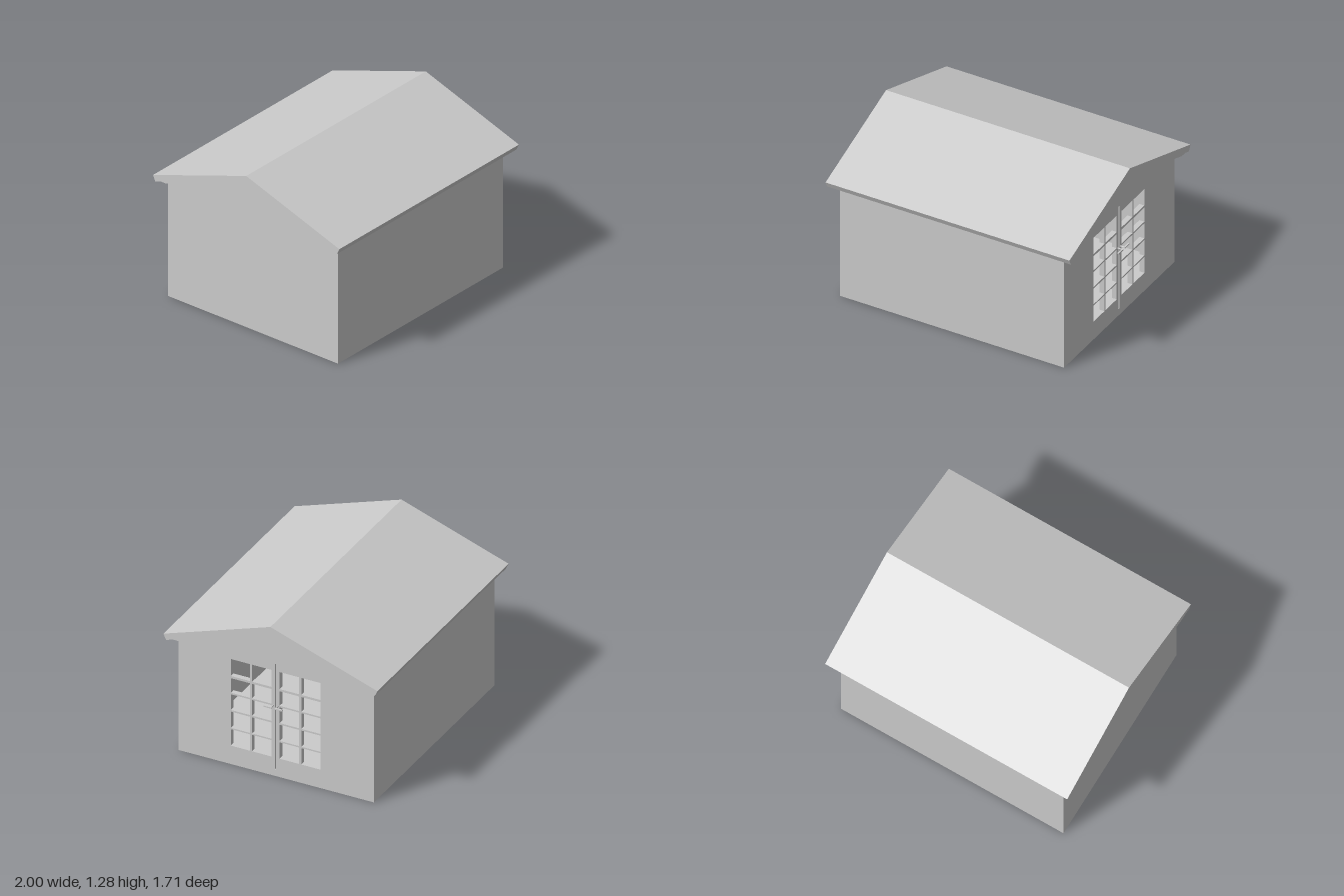
import * as THREE from 'three';

const material = new THREE.MeshStandardMaterial({ color: 0xcccccc, flatShading: true });
const WALL = 0.04; // wall thickness
const BACK = -0.925, FRONT = 0.91; // gable faces along x
const HALF = 0.782; // half width along z
const EAVE = 0.956, RIDGE = 1.214;

function add(group, geometry, name, x = 0, y = 0, z = 0) {
  const mesh = new THREE.Mesh(geometry, material);
  mesh.name = name;
  mesh.position.set(x, y, z);
  group.add(mesh);
  return mesh;
}

function box(group, name, [x0, x1], [y0, y1], [z0, z1]) {
  return add(group, new THREE.BoxGeometry(x1 - x0, y1 - y0, z1 - z0), name,
    (x0 + x1) / 2, (y0 + y1) / 2, (z0 + z1) / 2);
}

// Extrudes a profile drawn in (-z, y) along x, from x0 to x1
function extrudeX(group, name, shape, x0, x1) {
  const geometry = new THREE.ExtrudeGeometry(shape, { depth: x1 - x0, bevelEnabled: false });
  geometry.rotateY(Math.PI / 2);
  return add(group, geometry, name, x0);
}

const shapeOf = (points) => new THREE.Shape(points.map(([a, b]) => new THREE.Vector2(a, b)));

function gable() {
  return shapeOf([[-HALF, 0], [HALF, 0], [HALF, EAVE], [0.735, EAVE], [0, RIDGE],
    [-0.735, EAVE], [-HALF, EAVE]]);
}

function cutRect(shape, a0, a1, b0, b1) {
  shape.holes.push(new THREE.Path([[a0, b0], [a0, b1], [a1, b1], [a1, b0]]
    .map(([a, b]) => new THREE.Vector2(a, b))));
}

export function createModel() {
  const model = new THREE.Group();
  model.name = 'gardenHouse';

  // Floor and the two long side walls
  box(model, 'floor', [BACK + WALL, FRONT - WALL], [0, 0.02], [-HALF + WALL, HALF - WALL]);
  for (const s of [-1, 1]) {
    const z = s * (HALF - WALL / 2);
    box(model, s > 0 ? 'leftWall' : 'rightWall', [BACK + WALL, FRONT - WALL], [0, EAVE],
      [z - WALL / 2, z + WALL / 2]);
  }

  // Plain gable wall at the far end
  extrudeX(model, 'plainGableWall', gable(), BACK, BACK + WALL);

  // Gable wall with glazed double doors: open panes and the slit between the leaves
  const doorWall = gable();
  const columns = [[-0.363, -0.211], [-0.193, -0.037], [0.028, 0.184], [0.202, 0.354]];
  const rows = [[0.152, 0.287], [0.299, 0.432], [0.446, 0.575], [0.588, 0.708], [0.726, 0.866]];
  for (const [a0, a1] of columns) {
    for (const [b0, b1] of rows) cutRect(doorWall, a0, a1, b0, b1);
  }
  cutRect(doorWall, -0.009, -0.001, 0.055, 0.925);
  extrudeX(model, 'doorGableWall', doorWall, FRONT - WALL, FRONT);

  // Pitched roof slab with square-cut eaves
  const roof = shapeOf([[0, 1.276], [-0.857, 0.984], [-0.836, 0.938], [-HALF, EAVE],
    [-0.735, EAVE], [0, RIDGE], [0.735, EAVE], [HALF, EAVE], [0.836, 0.938], [0.857, 0.984]]);
  extrudeX(model, 'roof', roof, -1, 0.997);

  // A lever handle on each door leaf
  for (const s of [-1, 1]) {
    const handle = new THREE.Group();
    handle.name = s > 0 ? 'leftHandle' : 'rightHandle';
    const stem = new THREE.CylinderGeometry(0.005, 0.005, 0.04, 8).rotateZ(Math.PI / 2);
    add(handle, stem, 'handleStem', FRONT + 0.02, 0.579, 0.004 + s * 0.017);
    const lever = new THREE.BoxGeometry(0.012, 0.01, 0.064);
    add(handle, lever, 'handleLever', FRONT + 0.038, 0.579, 0.004 + s * 0.043);
    model.add(handle);
  }

  return model;
}
